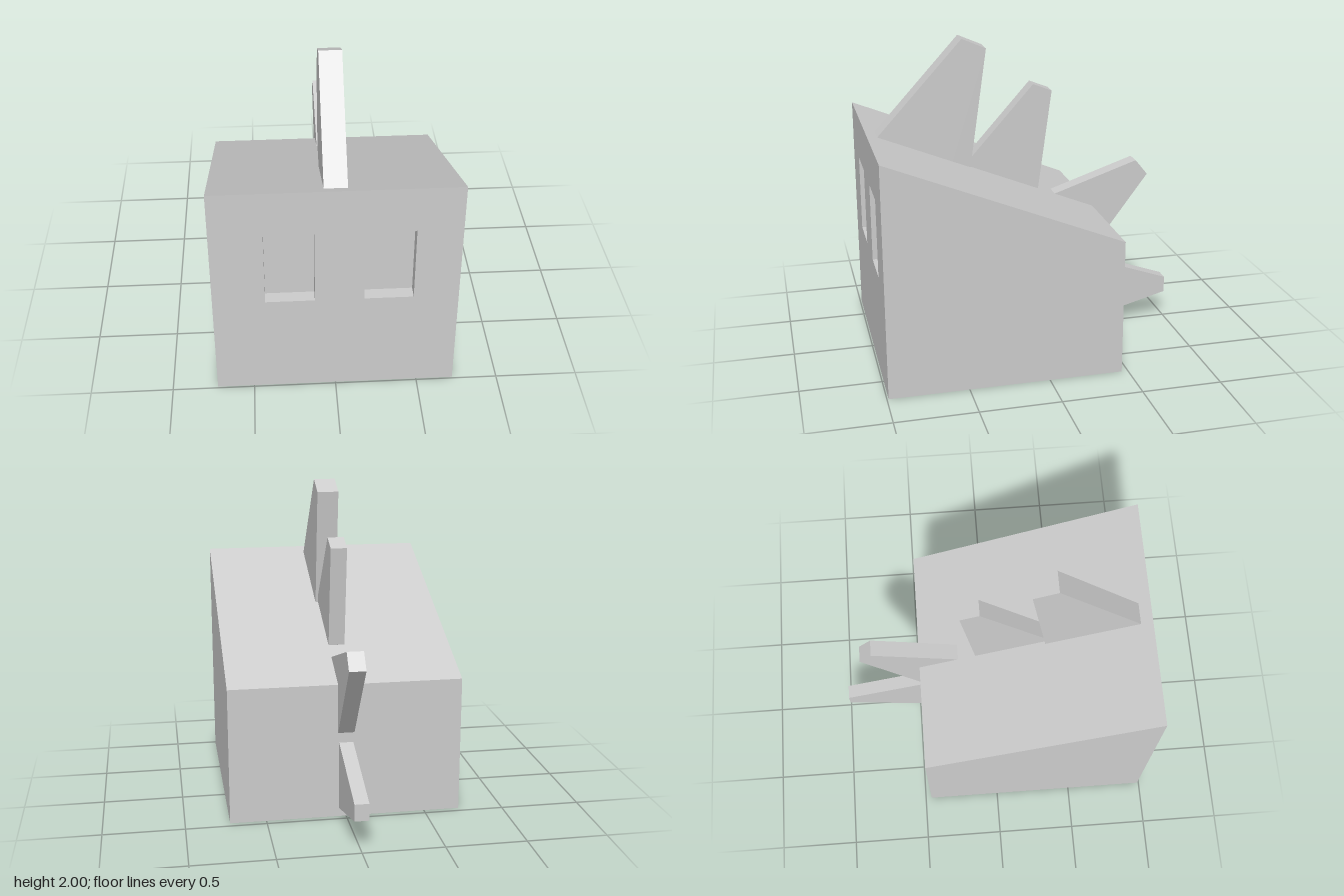
import * as THREE from 'three';

const HALF = 0.725, FRONT = 0.99, BACK = -0.46, RECESS = 0.08;
const roofY = z => 0.86 + (z - BACK) * (1.45 - 0.86) / (FRONT - BACK);

// Extrudes a [z, y] side profile across x, centred on x = 0
function slab(profile, halfWidth) {
  const shape = new THREE.Shape(profile.map(([z, y]) => new THREE.Vector2(-z, y)));
  const geo = new THREE.ExtrudeGeometry(shape, { depth: halfWidth * 2, bevelEnabled: false });
  geo.translate(0, 0, -halfWidth);
  return geo.rotateY(Math.PI / 2);
}

export function createModel() {
  const group = new THREE.Group();
  const grey = new THREE.MeshStandardMaterial({ color: 0xcccccc });
  grey.name = 'light grey';
  const add = (name, geo) => {
    const mesh = new THREE.Mesh(geo, grey);
    mesh.name = name;
    group.add(mesh);
  };

  // Wedge-topped body behind the front panel
  const inner = FRONT - RECESS;
  add('body', slab([[inner, 0], [BACK, 0], [BACK, roofY(BACK)], [inner, roofY(inner)]], HALF));

  // Front panel with two rectangular eye sockets, its top sheared to the roof slope
  const rect = (Type, x0, x1, y0, y1) => new Type([[x0, y0], [x1, y0], [x1, y1], [x0, y1]]
    .map(([x, y]) => new THREE.Vector2(x, y)));
  const face = rect(THREE.Shape, -HALF, HALF, 0, roofY(FRONT));
  for (const x of [-0.415, 0.167]) face.holes.push(rect(THREE.Path, x, x + 0.291, 0.67, 1.158));
  const panel = new THREE.ExtrudeGeometry(face, { depth: RECESS, bevelEnabled: false });
  panel.translate(0, 0, inner);
  const pos = panel.attributes.position;
  for (let i = 0; i < pos.count; i++) {
    if (pos.getY(i) > 1.3) pos.setY(i, roofY(pos.getZ(i)));
  }
  panel.computeVertexNormals();
  add('frontPanel', panel);

  // Tapered spines from the roof down to the back, rooted inside the body
  const spines = [
    ['topSpine', 0.068, [[0.92, 1.42], [0.39, 2], [0.24, 1.935], [0.345, 1.19], [0.5, 1.1]]],
    ['upperSpine', 0.051, [[0.38, 1.2], [-0.06, 1.693], [-0.18, 1.645], [-0.095, 1.01], [0.05, 0.95]]],
    ['rearSpine', 0.051, [[-0.205, 0.963], [-0.75, 1.148], [-0.83, 1.05], [-0.46, 0.55], [-0.38, 0.6]]],
    ['lowerSpine', 0.044, [[-0.44, 0.494], [-0.985, 0.3], [-0.985, 0.195], [-0.44, 0.048]]],
  ];
  for (const [name, halfWidth, profile] of spines) add(name, slab(profile, halfWidth));

  return group;
}
